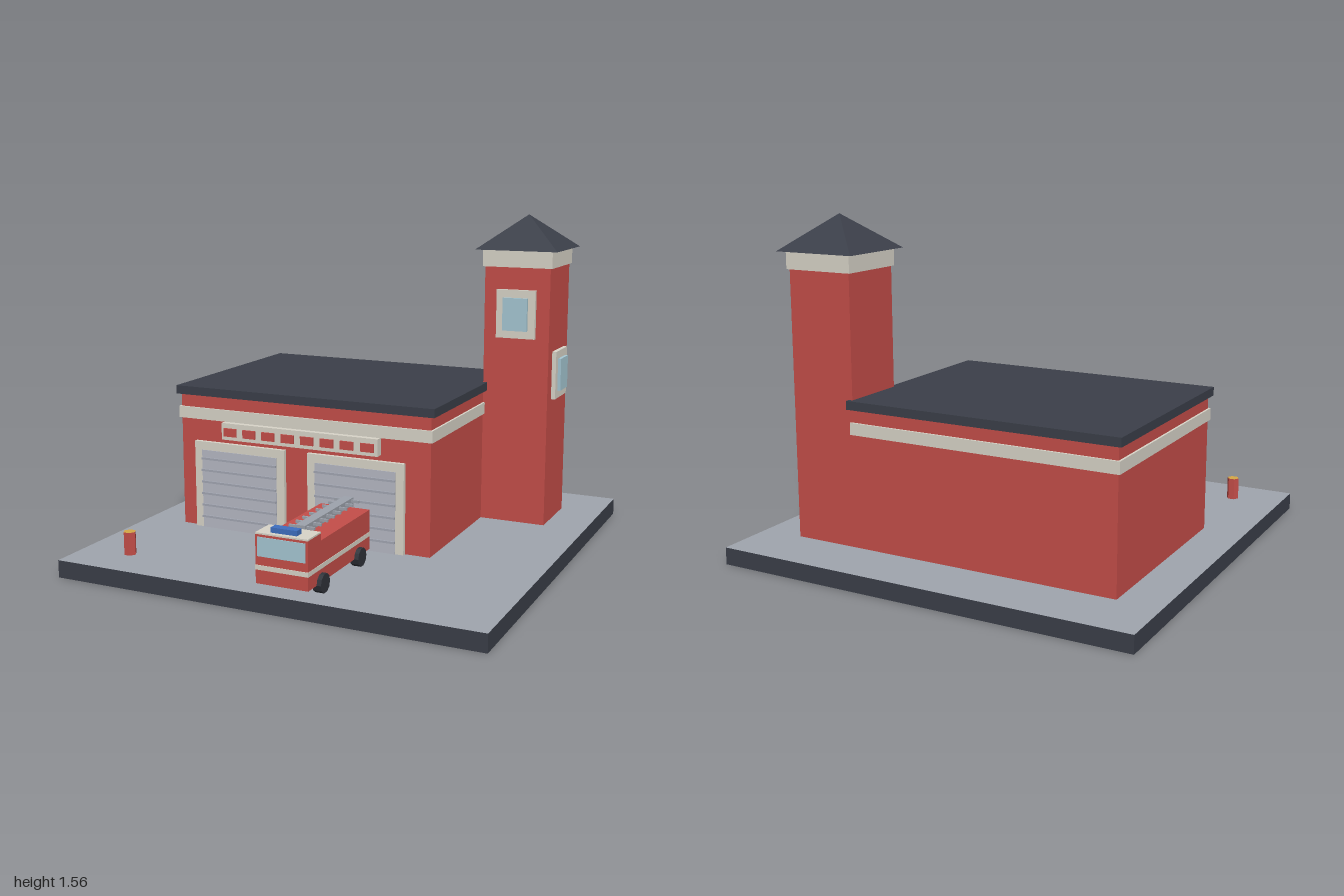
import * as THREE from 'three';

const mat = (color) => new THREE.MeshStandardMaterial({ color, flatShading: true });
const RED = mat(0xc54e49), CREAM = mat(0xd9d5c9), DARK = mat(0x3b3f49), GLASS = mat(0xa6c8d4);
const PAVING = mat(0xa0a5ae), DOOR = mat(0xb6b9c4), SLAT = mat(0xa3a7b3), STEEL = mat(0x9ea3ad);
const BLUE = mat(0x3f6fc0), TYRE = mat(0x30333a), YELLOW = mat(0xd6a846);

function add(parent, name, geometry, material) {
  const mesh = new THREE.Mesh(geometry, material);
  mesh.name = name;
  parent.add(mesh);
  return mesh;
}

// Box given by its extents along each axis
function box(parent, name, material, [x0, x1], [y0, y1], [z0, z1]) {
  const mesh = add(parent, name, new THREE.BoxGeometry(x1 - x0, y1 - y0, z1 - z0), material);
  mesh.position.set((x0 + x1) / 2, (y0 + y1) / 2, (z0 + z1) / 2);
  return mesh;
}

function group(parent, name) {
  const g = new THREE.Group();
  g.name = name;
  parent.add(g);
  return g;
}

// Framed window facing +z, centred on its own origin
function makeWindow(parent, name) {
  const g = group(parent, name);
  box(g, 'windowFrame', CREAM, [-0.095, 0.095], [-0.115, 0.115], [-0.01, 0.02]);
  box(g, 'windowGlass', GLASS, [-0.06, 0.06], [-0.078, 0.078], [0, 0.035]);
  return g;
}

// Garage door: frame of two posts and a lintel, panel and slats
function makeGarageDoor(parent, cx) {
  const g = group(parent, 'garageDoor');
  g.position.x = cx;
  for (const s of [-1, 1]) {
    const post = box(g, 'doorPost', CREAM, [-0.02, 0.02], [0.08, 0.5], [0.27, 0.3]);
    post.position.x = s * 0.22;
  }
  box(g, 'doorLintel', CREAM, [-0.2, 0.2], [0.46, 0.5], [0.27, 0.3]);
  box(g, 'doorPanel', DOOR, [-0.2, 0.2], [0.08, 0.46], [0.27, 0.303]);
  for (let i = 0; i < 6; i++) {
    const y = 0.135 + i * 0.057;
    box(g, 'doorSlat', SLAT, [-0.2, 0.2], [y - 0.005, y + 0.005], [0.29, 0.312]);
  }
}

function makeStation(parent) {
  const g = group(parent, 'station');
  box(g, 'hallWalls', RED, [-0.8, 0.48], [0.08, 0.72], [-0.72, 0.28]);
  box(g, 'hallBand', CREAM, [-0.81, 0.49], [0.605, 0.66], [-0.73, 0.29]);
  box(g, 'hallRoof', DARK, [-0.82, 0.5], [0.72, 0.76], [-0.74, 0.295]);
  makeGarageDoor(g, -0.48);
  makeGarageDoor(g, 0.12);

  // Sign board with a row of plain blocks
  box(g, 'signBoard', CREAM, [-0.56, 0.24], [0.525, 0.605], [0.27, 0.318]);
  for (let i = 0; i < 8; i++) {
    const x = -0.545 + i * 0.1005;
    box(g, 'signBlock', RED, [x, x + 0.066], [0.543, 0.582], [0.31, 0.326]);
  }
}

function makeTower(parent) {
  const g = group(parent, 'tower');
  g.position.set(0.64, 0, -0.56);
  box(g, 'towerWalls', RED, [-0.16, 0.16], [0.08, 1.32], [-0.16, 0.16]);
  box(g, 'towerCornice', CREAM, [-0.17, 0.17], [1.32, 1.4], [-0.17, 0.17]);
  const roof = add(g, 'towerRoof', new THREE.ConeGeometry(0.2 * Math.SQRT2, 0.16, 4), DARK);
  roof.rotation.y = Math.PI / 4;
  roof.position.y = 1.48;
  makeWindow(g, 'frontWindow').position.set(0, 1.1, 0.16);
  const side = makeWindow(g, 'sideWindow');
  side.position.set(0.16, 0.805, 0);
  side.rotation.y = Math.PI / 2;
}

function makeTruck(parent) {
  const g = group(parent, 'fireTruck');
  g.position.x = 0.12;
  box(g, 'truckBody', RED, [-0.12, 0.12], [0.125, 0.305], [0.4, 0.88]);
  box(g, 'truckCab', RED, [-0.12, 0.12], [0.125, 0.335], [0.88, 0.996]);
  box(g, 'cabRoof', CREAM, [-0.12, 0.12], [0.335, 0.342], [0.88, 0.996]);
  box(g, 'truckStripe', CREAM, [-0.122, 0.122], [0.185, 0.205], [0.398, 0.999]);
  box(g, 'windscreen', GLASS, [-0.11, 0.11], [0.243, 0.325], [0.98, 1]);
  box(g, 'lightBar', BLUE, [-0.06, 0.06], [0.342, 0.364], [0.935, 0.975]);

  // Wheels
  for (const z of [0.52, 0.88]) {
    for (const s of [-1, 1]) {
      const wheel = add(g, 'wheel', new THREE.CylinderGeometry(0.042, 0.042, 0.04, 10), TYRE);
      wheel.rotation.z = Math.PI / 2;
      wheel.position.set(s * 0.12, 0.126, z);
    }
  }

  // Ladder: central beam crossed by rungs
  box(g, 'ladderBeam', STEEL, [-0.023, 0.023], [0.305, 0.34], [0.36, 0.832]);
  for (let i = 0; i < 8; i++) {
    const z = 0.382 + i * 0.062;
    box(g, 'ladderRung', STEEL, [-0.06, 0.06], [0.322, 0.334], [z - 0.005, z + 0.005]);
  }
}

export function createModel() {
  const model = new THREE.Group();
  model.name = 'fireStation';

  // Base slab with a paved top face
  box(model, 'base', [DARK, DARK, PAVING, DARK, DARK, DARK], [-1, 1], [0, 0.08], [-1, 1]);
  makeStation(model);
  makeTower(model);
  makeTruck(model);

  // Hydrant with a yellow top
  const hydrant = add(model, 'hydrant', new THREE.CylinderGeometry(0.029, 0.029, 0.105, 6), [RED, YELLOW, RED]);
  hydrant.rotation.y = Math.PI / 6;
  hydrant.position.set(-0.762, 0.1325, 0.792);
  return model;
}
